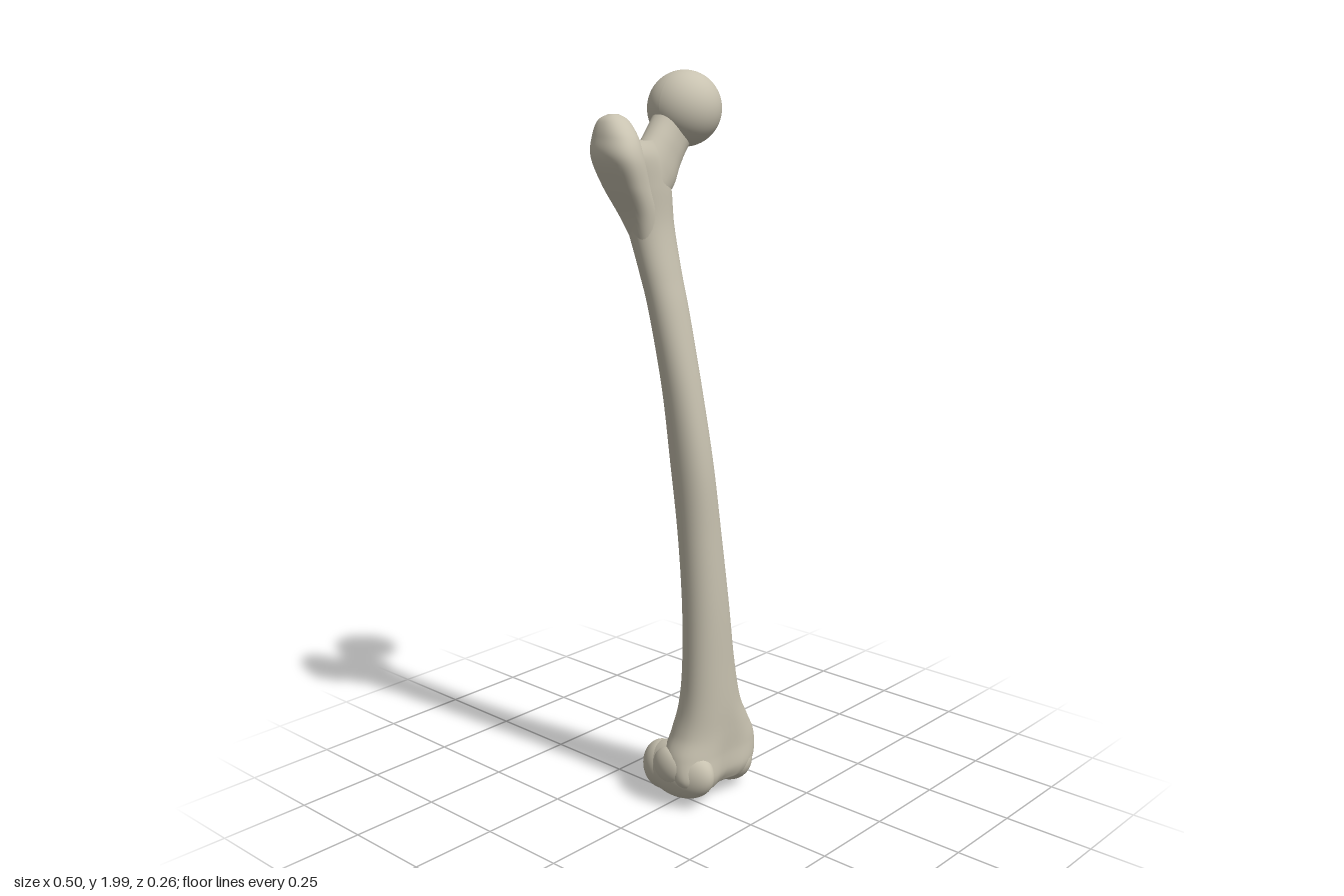
import * as THREE from 'three';

const bone = new THREE.MeshStandardMaterial({ color: 0xc8c2b0 });
bone.name = 'bone';

const SIDES = 40, STEPS = 10;
const signedPow = (v, e) => Math.sign(v) * Math.abs(v) ** e;

// Catmull-Rom value of one column between rows i and i + 1
function spline(rows, i, t, k) {
  const at = n => rows[Math.min(Math.max(n, 0), rows.length - 1)][k] ?? 0;
  const [a, b, c, d] = [at(i - 1), at(i), at(i + 1), at(i + 2)];
  return b + 0.5 * t * (c - a + t * (2 * a - 5 * b + 4 * c - d + t * (3 * (b - c) + d - a)));
}

// Closed solid through rows, top to bottom: [y, xMin, xMax, zMin, zMax, backPinch, frontGroove]
function loft(rows, { skew = 0, power = 0.9 } = {}) {
  const pos = [], index = [];
  const rings = (rows.length - 1) * STEPS + 1;
  for (let r = 0; r < rings; r++) {
    const i = Math.min(Math.floor(r / STEPS), rows.length - 2), t = r / STEPS - i;
    const [y, x0, x1, z0, z1, pinch, groove] = [0, 1, 2, 3, 4, 5, 6].map(k => spline(rows, i, t, k));
    for (let j = 0; j < SIDES; j++) {
      const a = (j / SIDES) * Math.PI * 2, c = Math.cos(a), s = Math.sin(a);
      const dz = (z1 - z0) / 2 * signedPow(s, power);
      const narrow = 1 - pinch * Math.max(0, -s);
      const dip = s > 0 ? groove * Math.exp(-((c / 0.3) ** 2)) : 0;
      pos.push((x0 + x1) / 2 + (x1 - x0) / 2 * signedPow(c, power) * narrow - skew * dz, y, (z0 + z1) / 2 + dz - dip);
    }
  }
  for (let r = 0; r < rings - 1; r++) {
    for (let j = 0; j < SIDES; j++) {
      const a = r * SIDES + j, b = r * SIDES + (j + 1) % SIDES;
      index.push(a, b, a + SIDES, b, b + SIDES, a + SIDES);
    }
  }
  // end caps
  [[rows[0], 0, true], [rows.at(-1), (rings - 1) * SIDES, false]].forEach(([w, start, top]) => {
    const centre = pos.length / 3;
    pos.push((w[1] + w[2]) / 2, w[0], (w[3] + w[4]) / 2);
    for (let j = 0; j < SIDES; j++) {
      const a = start + j, b = start + (j + 1) % SIDES;
      index.push(centre, top ? b : a, top ? a : b);
    }
  });
  const g = new THREE.BufferGeometry();
  g.setAttribute('position', new THREE.Float32BufferAttribute(pos, 3));
  g.setIndex(index);
  g.computeVertexNormals();
  return g;
}

export function createModel() {
  const model = new THREE.Group();
  model.name = 'thighBone';

  function add(name, geometry, position = [0, 0, 0], rotation = [0, 0, 0]) {
    const mesh = new THREE.Mesh(geometry, bone);
    mesh.name = name;
    mesh.position.set(...position);
    mesh.rotation.set(...rotation);
    model.add(mesh);
    return mesh;
  }
  const knob = (name, position, radii, rotation) =>
    add(name, new THREE.SphereGeometry(1, 40, 28).scale(...radii), position, rotation);

  // Bowed shaft, ridged along the back and flaring toward the knee
  add('shaft', loft([
    [1.83, -0.19, -0.11, -0.04, 0.02],
    [1.79, -0.22, -0.08, -0.07, 0.033],
    [1.72, -0.208, -0.045, -0.075, 0.034, 0.05],
    [1.62, -0.172, -0.036, -0.07, 0.034, 0.15],
    [1.5, -0.15, -0.03, -0.047, 0.052, 0.25],
    [1.4, -0.135, -0.022, -0.03, 0.07, 0.3],
    [1.2, -0.11, -0.005, -0.008, 0.1, 0.3],
    [1.0, -0.09, 0.02, 0, 0.12, 0.3],
    [0.8, -0.07, 0.052, 0.006, 0.123, 0.3],
    [0.6, -0.055, 0.085, 0.006, 0.125, 0.25],
    [0.42, -0.046, 0.118, 0, 0.122, 0.1],
    [0.3, -0.046, 0.152, -0.015, 0.12],
    [0.22, -0.058, 0.2, -0.04, 0.12, 0, 0.005],
    [0.16, -0.08, 0.232, -0.05, 0.122, 0, 0.012],
    [0.1, -0.083, 0.22, -0.02, 0.125, 0, 0.018],
    [0.065, -0.06, 0.19, 0, 0.11, 0, 0.02],
    [0.055, -0.03, 0.15, 0.02, 0.09, 0, 0.01],
  ]));

  // Ball of the hip with a small pit on the inner side
  const ball = new THREE.SphereGeometry(0.095, 64, 48);
  const pit = new THREE.Vector3(0.96, 0.2, -0.18).normalize();
  const p = ball.attributes.position, v = new THREE.Vector3();
  for (let i = 0; i < p.count; i++) {
    v.fromBufferAttribute(p, i);
    v.multiplyScalar(1 - 0.09 * Math.exp(-((v.angleTo(pit) / 0.17) ** 2)));
    p.setXYZ(i, v.x, v.y, v.z);
  }
  ball.computeVertexNormals();
  add('head', ball, [0.018, 1.905, -0.01]);

  // Slanted neck between the ball and the shaft
  add('neck', loft([
    [0, -0.07, 0.07, -0.065, 0.065],
    [-0.07, -0.062, 0.06, -0.052, 0.047],
    [-0.13, -0.06, 0.068, -0.048, 0.043],
    [-0.19, -0.06, 0.085, -0.05, 0.043],
    [-0.25, -0.05, 0.07, -0.05, 0.04],
    [-0.28, -0.02, 0.03, -0.03, 0.02],
  ]), [0.018, 1.905, -0.01], [0, 0, -0.72]);

  // Large outer prominence
  add('greaterTrochanter', loft([
    [1.893, -0.198, -0.168, -0.08, -0.05],
    [1.878, -0.22, -0.145, -0.112, -0.02],
    [1.84, -0.24, -0.138, -0.128, 0.02],
    [1.79, -0.25, -0.13, -0.13, 0.04],
    [1.72, -0.222, -0.11, -0.115, 0.038],
    [1.64, -0.18, -0.08, -0.085, 0.03],
    [1.55, -0.15, -0.08, -0.035, 0.02],
  ], { skew: 0.2 }));

  // Small inner prominence and the crest leading to it
  knob('lesserTrochanter', [-0.044, 1.632, -0.068], [0.034, 0.05, 0.035], [0, 0, -0.2]);
  const crest = new THREE.CatmullRomCurve3([
    [-0.15, 1.83, -0.085], [-0.12, 1.75, -0.08], [-0.08, 1.68, -0.068], [-0.05, 1.63, -0.06],
  ].map(q => new THREE.Vector3(...q)));
  add('trochantericCrest', new THREE.TubeGeometry(crest, 24, 0.026, 16));

  // Rounded knee condyles and the side bumps above them
  knob('medialCondyle', [0.172, 0.095, -0.008], [0.066, 0.088, 0.125], [0, -0.22, 0]);
  knob('medialCondyleBack', [0.178, 0.105, -0.06], [0.06, 0.075, 0.068]);
  knob('medialEpicondyle', [0.205, 0.14, -0.01], [0.044, 0.056, 0.065]);
  knob('lateralCondyle', [-0.03, 0.108, 0.015], [0.056, 0.082, 0.115], [0, 0.08, 0]);
  knob('lateralCondyleBack', [-0.032, 0.105, -0.045], [0.052, 0.072, 0.06]);
  knob('lateralEpicondyle', [-0.06, 0.125, 0.01], [0.033, 0.055, 0.06]);

  return model;
}
